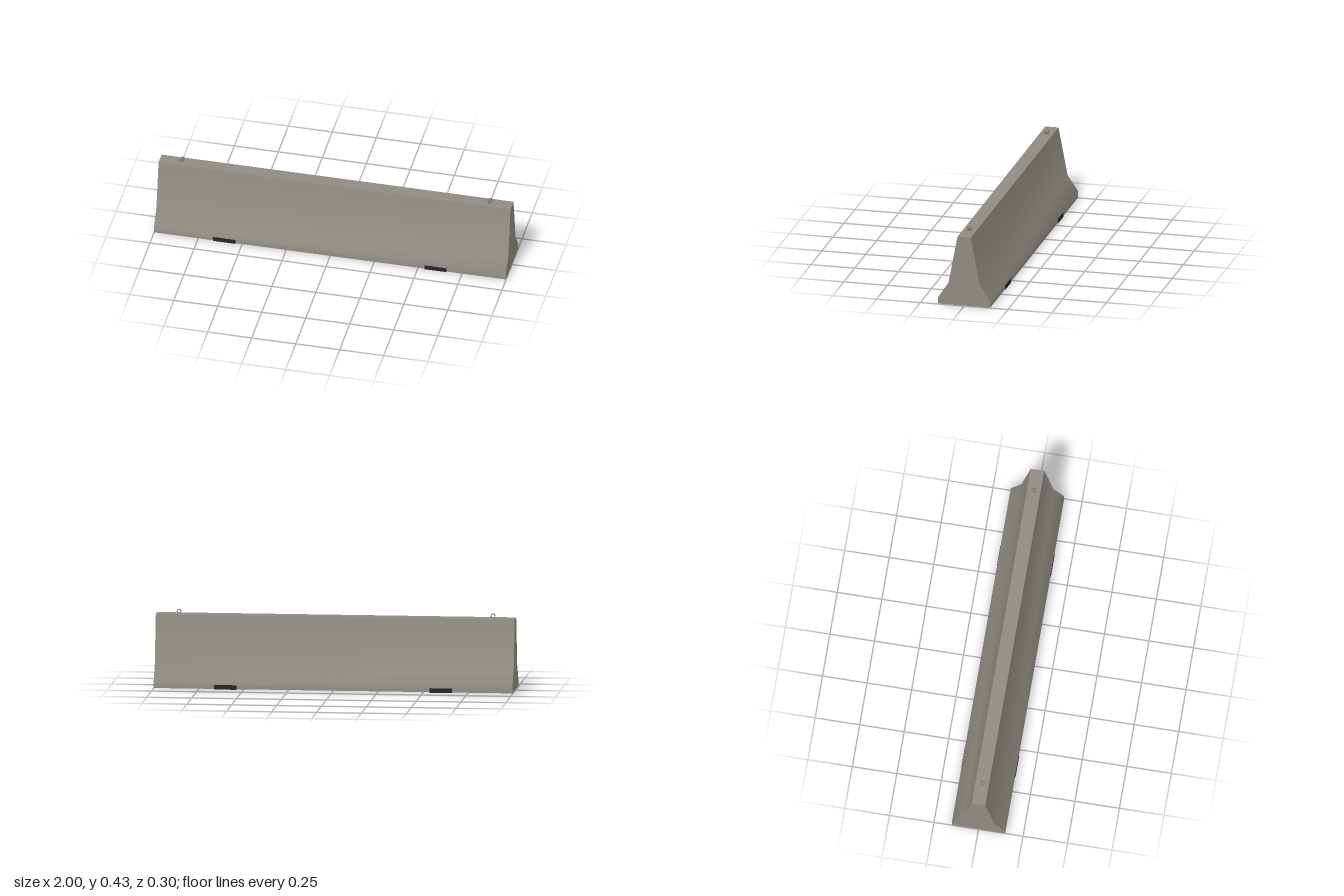
import * as THREE from 'three';
import { toCreasedNormals } from 'three/addons/utils/BufferGeometryUtils.js';

const material = (name, color) => {
  const m = new THREE.MeshStandardMaterial({ color });
  m.name = name;
  return m;
};

export function createModel() {
  const concrete = material('concrete', 0x908c82);
  const rubber = material('dark rubber', 0x24262b);
  const steel = material('dull steel', 0x807e78);

  const group = new THREE.Group();
  group.name = 'roadBarrier';
  const add = (name, geometry, mat, x, y, z) => {
    const mesh = new THREE.Mesh(geometry, mat);
    mesh.name = name;
    mesh.position.set(x, y, z);
    group.add(mesh);
  };

  // Concrete body: mirrored half profile (half width, height) swept along x
  const half = [[0.15, 0.003], [0.15, 0.038], [0.09, 0.127], [0.038, 0.402]];
  const outline = [
    ...half,
    ...[...half].reverse().map(([w, h]) => [-w, h]),
  ].map(([w, h]) => new THREE.Vector2(w, h));
  const sweep = new THREE.ExtrudeGeometry(new THREE.Shape(outline), { depth: 2, bevelEnabled: false });
  sweep.translate(0, 0, -1).rotateY(Math.PI / 2);
  add('barrierBody', toCreasedNormals(sweep, 0.8), concrete, 0, 0, 0);

  // Lifting eye: short eight-sided pipe lying along z
  const circle = (r) => Array.from({ length: 8 }, (_, i) =>
    new THREE.Vector2(r * Math.cos(i * Math.PI / 4), r * Math.sin(i * Math.PI / 4)));
  const ring = new THREE.Shape(circle(0.0125));
  ring.holes.push(new THREE.Path(circle(0.0095).reverse()));
  const eye = new THREE.ExtrudeGeometry(ring, { depth: 0.024, bevelEnabled: false });
  eye.translate(0, 0, -0.012);

  // Foot pad running under the full width of the body
  const pad = new THREE.BoxGeometry(0.126, 0.025, 0.304);

  for (const [side, s] of [['left', 1], ['right', -1]]) {
    add(side + 'LiftingEye', eye, steel, s * 0.875, 0.414, 0);
    add(side + 'FootPad', pad, rubber, s * 0.6, 0.0125, 0);
  }
  return group;
}
